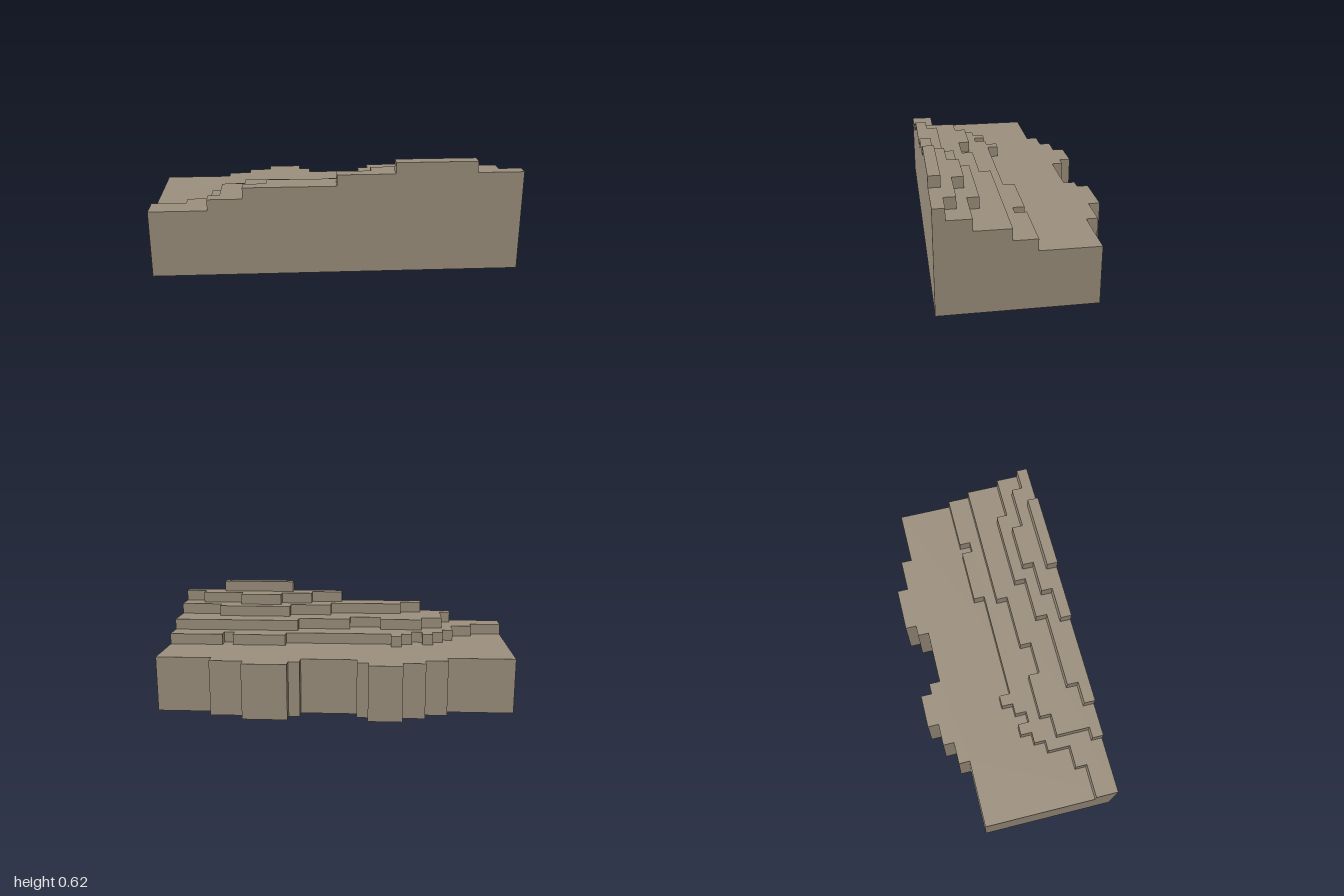
import * as THREE from 'three';

const UNIT = 1 / 16; // block size
const FRONT = 15;    // front edge, in blocks from the rearmost row

// Each terrace: bottom and top height, right-hand end, and [start column, back row] steps.
const TERRACES = [
  { name: 'baseSlab', y0: 0, y1: 5, end: 32, steps: [[0, 3], [6, 2], [8, 1], [10, 0], [13, 1], [14, 2], [19, 1], [20, 0], [24, 1], [27, 2]] },
  { name: 'firstTerrace', y0: 5, y1: 6, end: 32, steps: [[0, 13], [3, 12], [5, 10], [6, 9], [7, 8], [8, 9], [9, 8], [10, 7], [11, 8], [21, 7], [26, 8], [27, 7]] },
  { name: 'secondTerrace', y0: 6, y1: 7, end: 32, steps: [[5, 14], [6, 11], [8, 10], [12, 11], [15, 10], [20, 9]] },
  { name: 'thirdTerrace', y0: 7, y1: 8, end: 32, steps: [[8, 14], [10, 13], [17, 12], [21, 11], [28, 12]] },
  { name: 'fourthTerrace', y0: 8, y1: 9, end: 32, steps: [[16, 14], [19, 13], [22, 12], [26, 13], [30, 14]] },
  { name: 'topRidge', y0: 9, y1: 10, end: 28, steps: [[21, 14]] },
];

// Stepped plan outline extruded upwards
function terraceGeometry({ y0, y1, end, steps }) {
  const point = (col, row) => new THREE.Vector2((col - 16) * UNIT, (7.5 - row) * UNIT);
  const outline = [point(steps[0][0], FRONT), point(end, FRONT)];
  for (let i = steps.length - 1; i >= 0; i--) {
    const [start, row] = steps[i];
    const stop = i + 1 < steps.length ? steps[i + 1][0] : end;
    outline.push(point(stop, row), point(start, row));
  }
  const geometry = new THREE.ExtrudeGeometry(new THREE.Shape(outline), {
    depth: (y1 - y0) * UNIT,
    bevelEnabled: false,
  });
  geometry.rotateX(-Math.PI / 2);
  geometry.translate(0, y0 * UNIT, 0);
  return geometry;
}

export function createModel() {
  const model = new THREE.Group();
  model.name = 'terracedHillside';
  const stone = new THREE.MeshStandardMaterial({ color: 0x9b8f7d });
  stone.name = 'stone';
  for (const terrace of TERRACES) {
    const mesh = new THREE.Mesh(terraceGeometry(terrace), stone);
    mesh.name = terrace.name;
    model.add(mesh);
  }
  return model;
}
